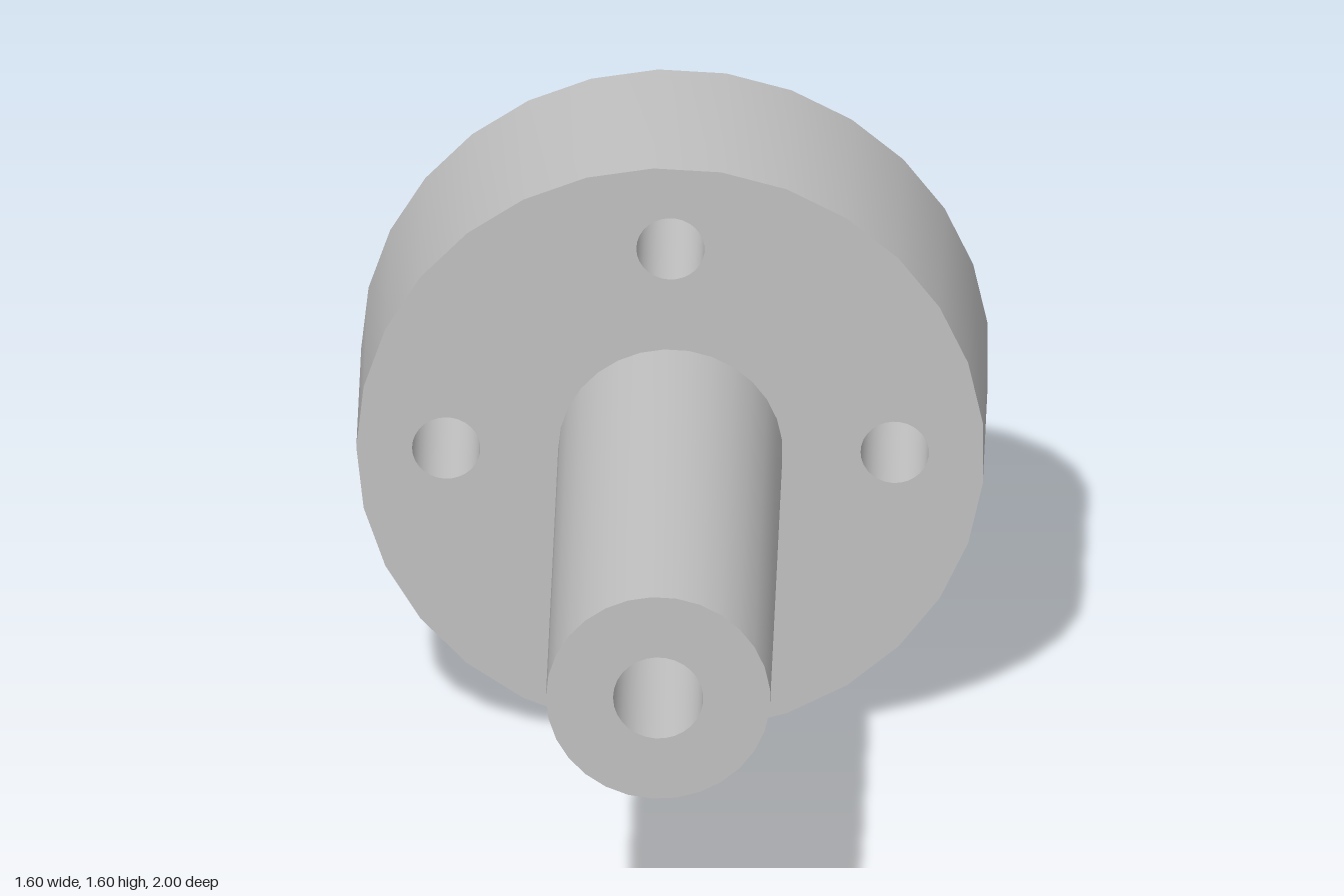
import * as THREE from 'three';
import { toCreasedNormals } from 'three/addons/utils/BufferGeometryUtils.js';

const SIDES = 29, CREASE = 0.6;
const FLANGE_R = 0.8, FLANGE_BACK = -1, FLANGE_FRONT = -0.429;
const SHAFT_R = 0.286, BORE_R = 0.115, BORE_DEPTH = 0.57, TIP = 0.069;
const BOLT_R = 0.087, BOLT_CIRCLE = 0.571;

// Points of a regular polygon whose first corner lies on the -x side
function ring(cx, cy, r, n) {
  return Array.from({ length: n }, (_, i) => {
    const a = Math.PI + (i / n) * Math.PI * 2;
    return new THREE.Vector2(cx + r * Math.cos(a), cy + r * Math.sin(a));
  });
}

export function createModel() {
  const group = new THREE.Group();
  group.name = 'flangedShaft';
  const steel = new THREE.MeshStandardMaterial({ color: 0xc0c0c0 });
  steel.name = 'light grey steel';

  // Flange disc with four through holes
  const outline = new THREE.Shape(ring(0, 0, FLANGE_R, SIDES));
  for (let i = 0; i < 4; i++) {
    const a = (i * Math.PI) / 2;
    outline.holes.push(new THREE.Path(
      ring(BOLT_CIRCLE * Math.cos(a), BOLT_CIRCLE * Math.sin(a), BOLT_R, SIDES)));
  }
  const disc = new THREE.ExtrudeGeometry(outline, {
    depth: FLANGE_FRONT - FLANGE_BACK, bevelEnabled: false,
  });
  const flange = new THREE.Mesh(toCreasedNormals(disc, CREASE), steel);
  flange.name = 'flange';
  flange.position.set(0, FLANGE_R, FLANGE_BACK);
  group.add(flange);

  // Shaft with a drilled blind bore ending in a cone
  const profile = [
    [SHAFT_R, FLANGE_FRONT],
    [SHAFT_R, 1],
    [BORE_R, 1],
    [BORE_R, 1 - BORE_DEPTH],
    [0, 1 - BORE_DEPTH - TIP],
  ].map(([r, z]) => new THREE.Vector2(r, z));
  const turned = new THREE.LatheGeometry(profile, SIDES, -Math.PI / 2);
  turned.rotateX(Math.PI / 2);
  const shaft = new THREE.Mesh(toCreasedNormals(turned, CREASE), steel);
  shaft.name = 'shaft';
  shaft.position.y = FLANGE_R;
  group.add(shaft);

  return group;
}
